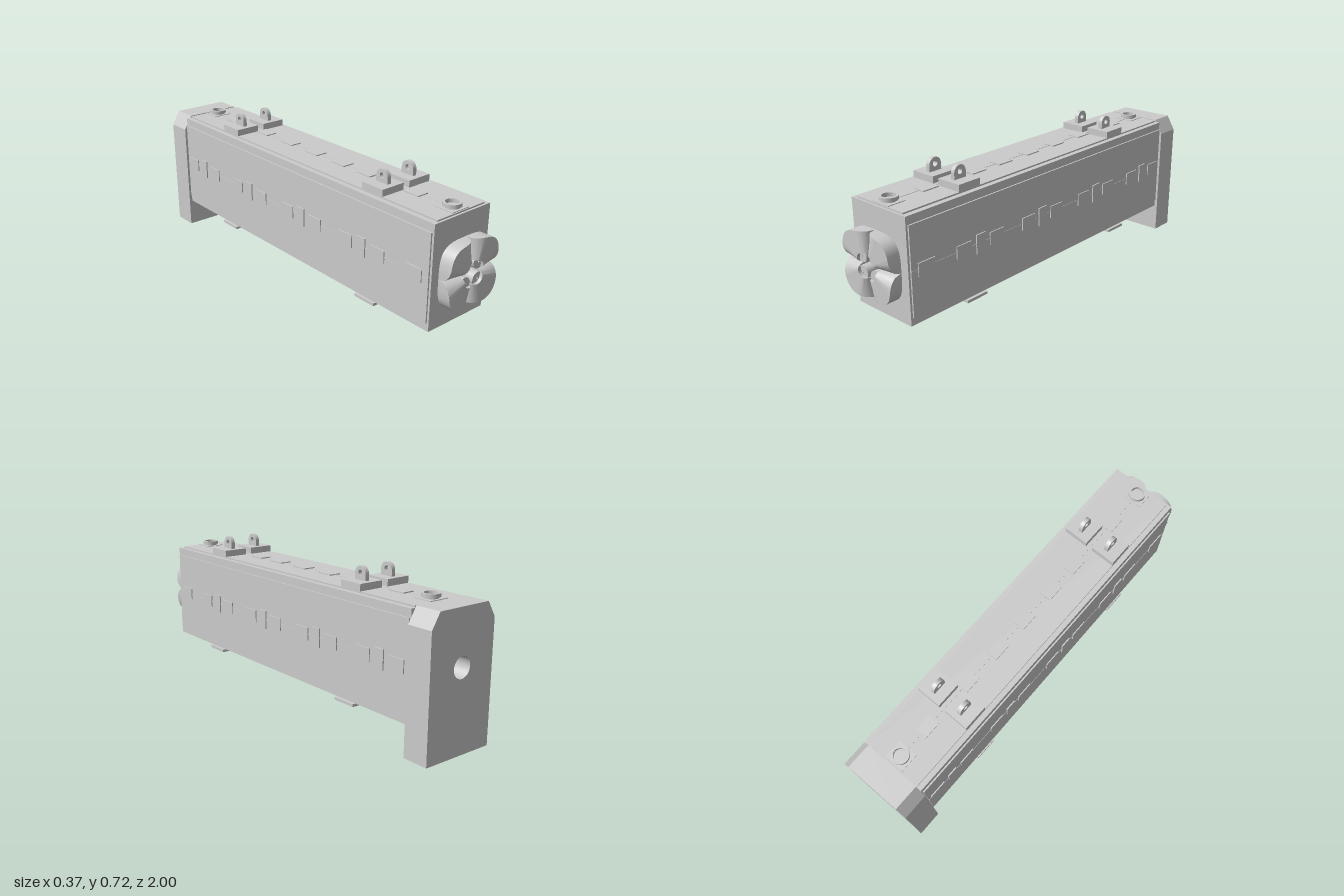
import * as THREE from 'three';
import { toCreasedNormals } from 'three/addons/utils/BufferGeometryUtils.js';

const AXIS_Y = 0.38; // height of the bore

export function createModel() {
  const model = new THREE.Group();
  const mat = new THREE.MeshStandardMaterial({ color: 0xcccccc });

  function add(name, geo, x = 0, y = 0, z = 0, parent = model) {
    const m = new THREE.Mesh(geo, mat);
    m.name = name;
    m.position.set(x, y, z);
    parent.add(m);
    return m;
  }
  // Box given by its limits on each axis
  function box(name, x0, x1, y0, y1, z0, z1) {
    return add(name, new THREE.BoxGeometry(x1 - x0, y1 - y0, z1 - z0),
      (x0 + x1) / 2, (y0 + y1) / 2, (z0 + z1) / 2);
  }
  const polygon = pts => new THREE.Shape(pts.map(p => new THREE.Vector2(...p)));
  const rectPath = (x, y, w, h) => new THREE.Path([[-w, -h], [-w, h], [w, h], [w, -h]]
    .map(([a, b]) => new THREE.Vector2(x + a / 2, y + b / 2)));
  const extrude = (shape, depth, curveSegments = 12) =>
    new THREE.ExtrudeGeometry(shape, { depth, bevelEnabled: false, curveSegments });

  // Yoke with a square channel for the poles
  const yoke = polygon([[-0.167, 0.138], [0.167, 0.138], [0.167, 0.621], [-0.167, 0.621]]);
  yoke.holes.push(rectPath(0, AXIS_Y, 0.11, 0.11));
  add('yoke', extrude(yoke, 1.795), 0, 0, -0.875);

  // Chamfered end plate with a round bore, on a foot with bolt slots
  const plate = polygon([[-0.183, 0.02], [0.183, 0.02], [0.183, 0.56], [0.14, 0.63],
    [-0.14, 0.63], [-0.183, 0.56]]);
  const bore = new THREE.Path();
  bore.absarc(0, AXIS_Y, 0.048, 0, Math.PI * 2, true);
  plate.holes.push(bore);
  add('endPlate', extrude(plate, 0.125, 16), 0, 0, -1);
  const foot = polygon([[-0.183, -0.0625], [0.183, -0.0625], [0.183, 0.0625], [-0.183, 0.0625]]);
  for (const x of [-0.14, -0.085, 0.085, 0.14]) foot.holes.push(rectPath(x, 0.01, 0.03, 0.025));
  add('endPlateFoot', extrude(foot, 0.02).rotateX(-Math.PI / 2), 0, 0, -0.9375);

  // Covers on all four long faces
  box('topCover', -0.142, 0.142, 0.621, 0.628, -0.87, 0.91);
  box('bottomCover', -0.15, 0.15, 0.131, 0.138, -0.87, 0.91);
  for (const s of [-1, 1]) {
    const side = (name, a, b, ...rest) => box(name, Math.min(s * a, s * b), Math.max(s * a, s * b), ...rest);
    side('sideCover', 0.167, 0.174, 0.174, 0.583, -0.87, 0.91);
    // Seam and its clamps
    side('sideSeam', 0.174, 0.1755, 0.377, 0.383, -0.87, 0.91);
    side('sideTab', 0.174, 0.179, 0.35, 0.41, 0.785, 0.875);
    for (let i = 0; i < 4; i++) {
      const z = 0.52 - i * 0.41;
      side('tallTab', 0.174, 0.18, 0.335, 0.425, z - 0.027, z + 0.027);
      for (const d of [-0.1, 0.1]) {
        side('sideTab', 0.174, 0.179, 0.35, 0.41, z + d - 0.043, z + d + 0.043);
      }
    }
  }

  // Centre seams and clamps above and below
  box('topSeam', -0.003, 0.003, 0.628, 0.6295, -0.87, 0.91);
  box('bottomSeam', -0.003, 0.003, 0.1295, 0.131, -0.87, 0.91);
  for (const z of [0.66, 0.37, 0.2, 0.01, -0.18, -0.38, -0.65]) {
    box('topTab', -0.03, 0.03, 0.628, 0.633, z - 0.043, z + 0.043);
    box('bottomTab', -0.03, 0.03, 0.126, 0.131, z - 0.043, z + 0.043);
  }

  // Lifting lug: round-topped plate with an eye
  const lug = new THREE.Shape();
  lug.moveTo(-0.034, 0);
  lug.lineTo(0.034, 0);
  lug.lineTo(0.034, 0.028);
  lug.absarc(0, 0.028, 0.034, 0, Math.PI, false);
  lug.lineTo(-0.034, 0);
  const eye = new THREE.Path();
  eye.absarc(0, 0.032, 0.013, 0, Math.PI * 2, true);
  lug.holes.push(eye);
  const lugGeo = extrude(lug, 0.02, 10).translate(0, 0, -0.01).rotateY(Math.PI / 2);

  for (const z of [0.545, -0.49]) {
    box('supportBar', -0.173, 0.173, 0.119, 0.132, z - 0.06, z + 0.06);
    for (const s of [-1, 1]) {
      add('liftingPad', new THREE.BoxGeometry(0.125, 0.034, 0.123), s * 0.0795, 0.643, z);
      add('liftingLug', lugGeo, s * 0.077, 0.66, z);
    }
  }

  // Survey target cups on top
  const cup = new THREE.LatheGeometry([[0, 0.008], [0.03, 0.008], [0.03, 0.026], [0.041, 0.026],
    [0.041, 0.01], [0.034, 0.01], [0.034, 0]].reverse().map(p => new THREE.Vector2(...p)), 24);
  for (const z of [0.86, -0.82]) {
    box('cupBase', -0.05, 0.05, 0.628, 0.631, z - 0.045, z + 0.045);
    add('targetCup', toCreasedNormals(cup, 0.5), 0, 0.627, z);
  }

  // Coil end: a quarter petal that falls back towards both of its edges
  function coilEnd() {
    const N = 28, pos = [], index = [];
    for (let i = 0; i <= N; i++) {
      const a = (i / N) * Math.PI / 2, c = Math.cos(a), s = Math.sin(a);
      const k = 1 / Math.pow(Math.pow(c, 3.6) + Math.pow(s, 3.6), 1 / 3.6);
      const t = Math.min(1, Math.min(i, N - i) / N / 0.3);
      const z = 0.942 + 0.058 * Math.sqrt(1 - (1 - t) * (1 - t));
      const profile = [[0.055, 0.9], [0.055, z], [0.1, z], [0.147, z],
        [0.147, 0.938], [0.088, 0.938], [0.088, 0.918]];
      for (const [r, pz] of profile) pos.push(r * k * c, r * k * s, pz);
      if (i === N) break;
      for (let j = 0; j < 6; j++) {
        const p = i * 7 + j, q = p + 7;
        index.push(p, p + 1, q + 1, p, q + 1, q);
      }
    }
    const g = new THREE.BufferGeometry();
    g.setAttribute('position', new THREE.Float32BufferAttribute(pos, 3));
    g.setIndex(index);
    return toCreasedNormals(g, 0.6);
  }
  const coilGeo = coilEnd();

  // Pole with a convex tip facing the bore
  const pole = new THREE.Shape();
  pole.moveTo(0.045, 0.008);
  pole.lineTo(0.055, 0.012);
  pole.lineTo(0.055, 0.035);
  pole.quadraticCurveTo(0.055, 0.055, 0.035, 0.055);
  pole.lineTo(0.012, 0.055);
  pole.lineTo(0.008, 0.045);
  pole.quadraticCurveTo(0.008, 0.008, 0.045, 0.008);
  const poleGeo = extrude(pole, 1.86);
  const pinGeo = new THREE.CylinderGeometry(0.004, 0.004, 0.006, 10).rotateX(Math.PI / 2);

  for (let i = 0; i < 4; i++) {
    const quadrant = new THREE.Group();
    quadrant.name = 'poleAndCoil';
    quadrant.position.y = AXIS_Y;
    quadrant.rotation.z = i * Math.PI / 2;
    add('coilEnd', coilGeo, 0, 0, 0, quadrant);
    add('pole', poleGeo, 0, 0, -0.875, quadrant);
    add('polePin', pinGeo, 0.038, 0.038, 0.986, quadrant);
    model.add(quadrant);
  }
  return model;
}
